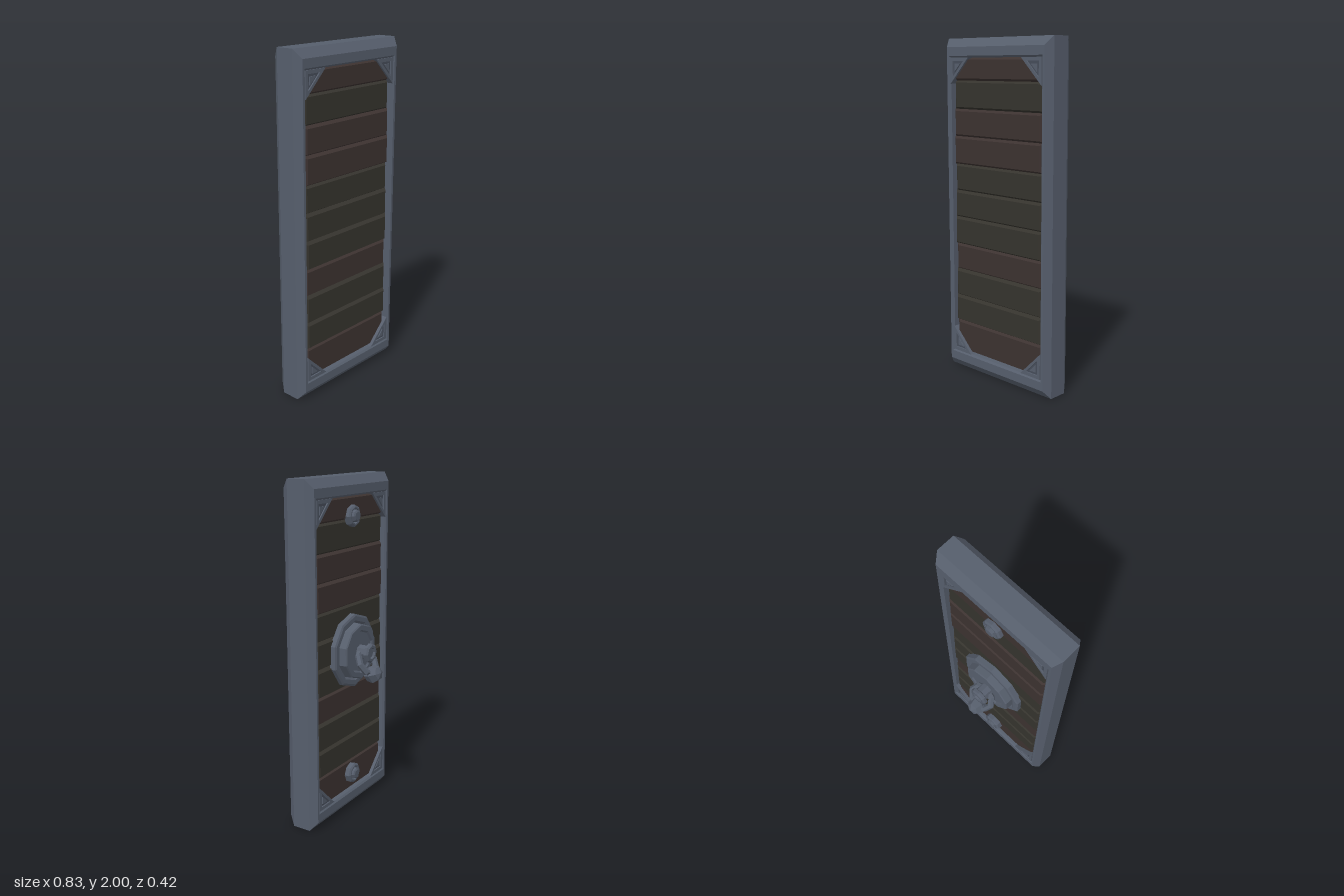
import * as THREE from 'three';

const mat = (color) => new THREE.MeshStandardMaterial({ color, flatShading: true });
const HALF_DEPTH = 0.098;

// Lofts rectangular sections [halfWidth, halfHeight, z], listed from back to front on the outside
function rectLoft(sections, closed) {
  const corners = [[1, -1], [1, 1], [-1, 1], [-1, -1]];
  const point = (i, k) => {
    const [hx, hy, z] = sections[i % sections.length];
    const [sx, sy] = corners[k % 4];
    return new THREE.Vector3(sx * hx, sy * hy, z);
  };
  const pos = [];
  const tri = (a, b, c) => {
    const area = b.clone().sub(a).cross(c.clone().sub(a)).length();
    if (area > 1e-9) for (const p of [a, b, c]) pos.push(p.x, p.y, p.z);
  };
  const rows = closed ? sections.length : sections.length - 1;
  for (let i = 0; i < rows; i++) {
    for (let k = 0; k < 4; k++) {
      const a = point(i, k), b = point(i, k + 1), c = point(i + 1, k + 1), d = point(i + 1, k);
      tri(a, b, c);
      tri(a, c, d);
    }
  }
  const g = new THREE.BufferGeometry();
  g.setAttribute('position', new THREE.Float32BufferAttribute(pos, 3));
  g.computeVertexNormals();
  return g;
}

// Turned part standing out from the back face; profile is [radius, height]
function turned(profile, sides) {
  const g = new THREE.LatheGeometry(profile.map(([r, h]) => new THREE.Vector2(r, h)), sides);
  g.rotateX(-Math.PI / 2);
  g.translate(0, 0, -HALF_DEPTH);
  return g;
}

function triangle(PathType, inset, leg) {
  const p = new PathType();
  p.moveTo(inset, inset);
  p.lineTo(inset + leg, inset);
  p.lineTo(inset, inset + leg);
  p.closePath();
  return p;
}

export function createModel() {
  const root = new THREE.Group();
  root.name = 'door';
  const door = new THREE.Group();
  door.name = 'doorPanel';
  door.position.set(0, 1, 0.07);
  door.rotation.y = 0.11; // slightly ajar
  root.add(door);

  const metal = mat(0x565e6c);
  const darkMetal = mat(0x454c59);
  const brown = mat(0x3c3230);
  const olive = mat(0x35332d);

  const add = (name, geometry, material, parent = door) => {
    const m = new THREE.Mesh(geometry, material);
    m.name = name;
    parent.add(m);
    return m;
  };

  // Chamfered surround
  add('frame', rectLoft([
    [0.41, 1, -0.055], [0.41, 1, 0.055],
    [0.381, 0.95, HALF_DEPTH], [0.366, 0.9, HALF_DEPTH], [0.356, 0.89, 0.088],
    [0.356, 0.89, -0.088], [0.366, 0.9, -HALF_DEPTH], [0.381, 0.95, -HALF_DEPTH],
  ], true), metal);

  // Horizontal planks, top to bottom
  const edges = [1.89, 1.76, 1.595, 1.435, 1.27, 1.11, 0.95, 0.785, 0.625, 0.46, 0.3, 0.11];
  const isBrown = [1, 0, 1, 1, 0, 0, 0, 1, 0, 0, 1];
  for (let i = 0; i < 11; i++) {
    const hy = (edges[i] - edges[i + 1]) / 2;
    const z = [0.082, 0.074, 0.079][i % 3];
    const bx = 0.332, by = hy - 0.012;
    const plank = add('plank', rectLoft([
      [0, 0, -z], [bx, by, -z], [0.358, hy, -z + 0.022],
      [0.358, hy, z - 0.022], [bx, by, z], [0, 0, z],
    ], false), isBrown[i] ? brown : olive);
    plank.position.y = (edges[i] + edges[i + 1]) / 2 - 1;
  }

  // Triangular corner brackets, running through both faces
  const extrude = (shape, depth) => {
    const g = new THREE.ExtrudeGeometry(shape, { depth, bevelEnabled: false });
    g.translate(0, 0, -depth / 2);
    return g;
  };
  const rim = triangle(THREE.Shape, 0, 0.15);
  rim.holes.push(triangle(THREE.Path, 0.02, 0.088));
  const rimGeometry = extrude(rim, 0.188);
  const infillGeometry = extrude(triangle(THREE.Shape, 0.01, 0.11), 0.172);
  const studGeometry = extrude(triangle(THREE.Shape, 0.034, 0.046), 0.184);
  for (let k = 0; k < 4; k++) {
    const bracket = new THREE.Group();
    bracket.name = 'cornerBracket';
    add('bracketRim', rimGeometry, metal, bracket);
    add('bracketInfill', infillGeometry, darkMetal, bracket);
    add('bracketStud', studGeometry, metal, bracket);
    const sx = k === 0 || k === 3 ? -1 : 1;
    bracket.position.set(sx * 0.357, k < 2 ? -0.89 : 0.89, 0);
    bracket.rotation.z = k * Math.PI / 2;
    door.add(bracket);
  }

  // Bolts above and below the knocker on the back
  const boltGeometry = turned([
    [0.062, -0.025], [0.062, 0.004], [0.052, 0.012], [0.044, 0.012], [0.036, 0],
    [0.034, 0.02], [0.024, 0.026], [0, 0.026],
  ], 8);
  for (const y of [0.78, -0.78]) add('bolt', boltGeometry, metal).position.y = y;

  // Knocker: stepped plate, knob, hanging ring and striker
  const knocker = new THREE.Group();
  knocker.name = 'knocker';
  door.add(knocker);
  add('knockerPlate', turned([
    [0.22, -0.025], [0.22, 0.007], [0.208, 0.013], [0.182, 0.013], [0.168, 0.002],
    [0.165, 0.046], [0.158, 0.052], [0.13, 0.052], [0.12, 0.043], [0, 0.043],
  ], 10), metal, knocker);
  add('knockerKnob', turned([
    [0.042, 0.04], [0.042, 0.095], [0.058, 0.102], [0.058, 0.117], [0.048, 0.127],
    [0.034, 0.127], [0.028, 0.115], [0, 0.115],
  ], 8), metal, knocker);
  const ring = add('knockerRing', new THREE.TorusGeometry(0.075, 0.02, 6, 8), metal, knocker);
  ring.position.set(0, -0.055, -0.19);
  ring.rotation.x = 0.55;
  const striker = add('knockerStriker', new THREE.SphereGeometry(0.056, 6, 4), metal, knocker);
  striker.position.set(0, -0.122, -0.232);
  striker.rotation.x = -1.3;

  return root;
}
